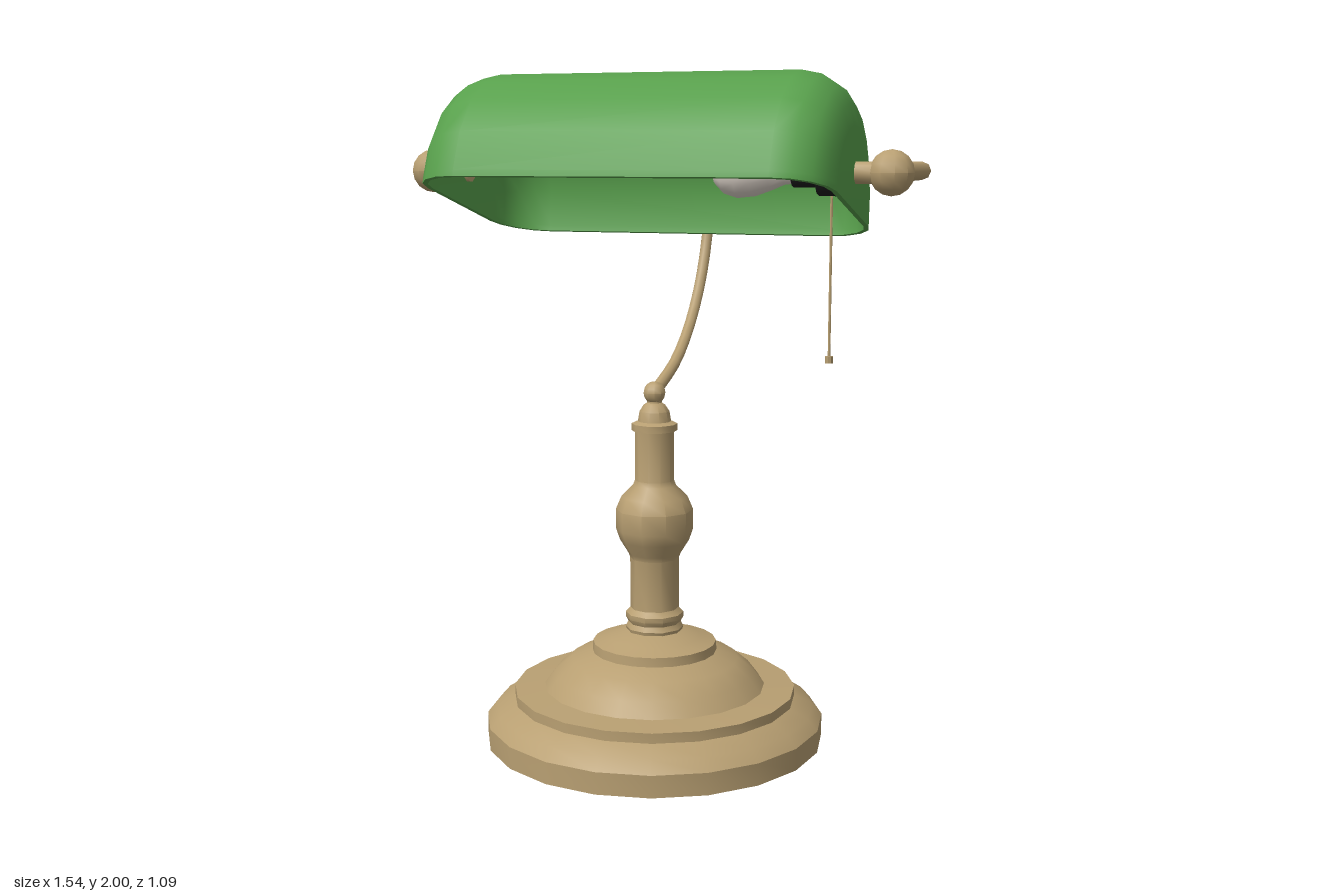
import * as THREE from 'three';
import { toCreasedNormals } from 'three/addons/utils/BufferGeometryUtils.js';

const mat = (name, color) => {
  const m = new THREE.MeshStandardMaterial({ color });
  m.name = name;
  return m;
};

export function createModel() {
  const brass = mat('brass', 0xb89f72);
  const green = mat('green glass', 0x58a04c);
  const black = mat('black socket', 0x1c1c1c);
  const white = mat('bulb white', 0xe0d6cc);

  const model = new THREE.Group();
  model.name = 'deskLamp';
  const STEM_Z = 0.032, BAR_Y = 1.72, BAR_Z = -0.483, JOINT_X = 0.705, JOINT_Z = 0.054;

  const add = (name, geo, material, x = 0, y = 0, z = 0, crease = 0.7) => {
    const mesh = new THREE.Mesh(toCreasedNormals(geo, crease), material);
    mesh.name = name;
    mesh.position.set(x, y, z);
    model.add(mesh);
    return mesh;
  };
  const lathe = (pts, sides) =>
    new THREE.LatheGeometry(pts.map(([r, y]) => new THREE.Vector2(r, y)), sides);
  const ball = (r, sides = 10) => new THREE.SphereGeometry(r, sides, 8);

  // Stepped round foot
  add('base', lathe([
    [0, 0], [0.515, 0], [0.515, 0.066], [0.485, 0.1], [0.43, 0.127], [0.43, 0.157],
    [0.337, 0.163], [0.305, 0.205], [0.255, 0.247], [0.19, 0.272], [0.188, 0.3],
    [0.14, 0.315], [0.085, 0.335], [0, 0.337],
  ], 20), brass, 0, 0, STEM_Z, 0.6);

  // Turned stem
  add('stem', lathe([
    [0.084, 0.33], [0.088, 0.345], [0.08, 0.36], [0.088, 0.375], [0.088, 0.39],
    [0.074, 0.405], [0.074, 0.56], [0.08, 0.575], [0.105, 0.615], [0.117, 0.65],
    [0.117, 0.71], [0.1, 0.75], [0.065, 0.785], [0.059, 0.8], [0.059, 0.95],
    [0.069, 0.952], [0.069, 0.973], [0.05, 0.98], [0.045, 1.01], [0.032, 1.03],
    [0.022, 1.036], [0.022, 1.06],
  ], 10), brass, 0, 0, STEM_Z);
  add('stemBall', ball(0.034), brass, 0, 1.066, STEM_Z);

  // Curved neck rising behind the shade
  const neck = new THREE.CatmullRomCurve3([
    [1.066, 0.032], [1.143, -0.18], [1.265, -0.34], [1.424, -0.456], [1.584, -0.508], [1.70, -0.488],
  ].map(([y, z]) => new THREE.Vector3(0, y, z)));
  add('neck', new THREE.TubeGeometry(neck, 14, 0.018, 8), brass, 0, 0, 0, 0.9);
  add('neckBall', ball(0.064), brass, 0, BAR_Y, BAR_Z);

  // U-shaped bar with rounded corners
  const bar = new THREE.CurvePath();
  const v = (x, z) => new THREE.Vector3(x, BAR_Y, z);
  const k = 0.06, e = JOINT_X;
  bar.add(new THREE.LineCurve3(v(-e, JOINT_Z), v(-e, BAR_Z + k)));
  bar.add(new THREE.QuadraticBezierCurve3(v(-e, BAR_Z + k), v(-e, BAR_Z), v(-e + k, BAR_Z)));
  bar.add(new THREE.LineCurve3(v(-e + k, BAR_Z), v(e - k, BAR_Z)));
  bar.add(new THREE.QuadraticBezierCurve3(v(e - k, BAR_Z), v(e, BAR_Z), v(e, BAR_Z + k)));
  bar.add(new THREE.LineCurve3(v(e, BAR_Z + k), v(e, JOINT_Z)));
  add('supportBar', new THREE.TubeGeometry(bar, 100, 0.028, 8), brass, 0, 0, 0, 0.9);

  // Pivot balls and pins at both ends of the shade
  for (const s of [-1, 1]) {
    add('pivotBall', ball(0.065), brass, s * JOINT_X, BAR_Y, JOINT_Z);
    const pin = new THREE.CylinderGeometry(0.033, 0.033, 0.09, 10).rotateZ(Math.PI / 2);
    add('pivotPin', pin, brass, s * 0.625, BAR_Y, JOINT_Z);
  }

  // Tilted half-round glass shade
  const shade = add('shade', shadeGeometry(0.605, 0.368, 0.15, 0.015), green, 0, 1.618, 0.083, 0.6);
  shade.rotation.x = -0.257;

  // Bulb and socket lying along the shade
  const alongX = (pts, sides) => lathe(pts, sides).rotateZ(-Math.PI / 2);
  add('bulb', alongX([
    [0, 0.185], [0.035, 0.195], [0.062, 0.222], [0.075, 0.265], [0.07, 0.31],
    [0.052, 0.36], [0.035, 0.4], [0.032, 0.45],
  ], 14), white, 0, BAR_Y, JOINT_Z);
  add('socket', alongX([
    [0, 0.425], [0.042, 0.425], [0.042, 0.495], [0.066, 0.5], [0.066, 0.588], [0, 0.588],
  ], 12), black, 0, BAR_Y, JOINT_Z);

  // Pull chain
  add('pullChain', new THREE.CylinderGeometry(0.004, 0.004, 0.5, 6), brass, 0.536, 1.44, JOINT_Z, 1.2);
  add('pullKnob', new THREE.CylinderGeometry(0.012, 0.012, 0.02, 8), brass, 0.536, 1.19, JOINT_Z);

  return model;
}

// Half-round trough along x with rounded, closed ends, a short straight wall and a thickness
function shadeGeometry(halfLength, radius, corner, thick) {
  const ARC = 10, STEPS = 4, WALL = 0.018;
  const sections = (inset) => {
    const c = corner - inset, x0 = halfLength - corner, half = [];
    for (let i = 0; i <= STEPS; i++) {
      const a = (i / STEPS) * Math.PI / 2;
      half.push([x0 + c * Math.sin(a), radius - corner + c * Math.cos(a)]);
    }
    half.push([halfLength - inset, 0]);
    return [...half.map(([x, r]) => [-x, r]).reverse(), ...half];
  };
  const pos = [], idx = [];
  const shells = [sections(0), sections(thick)];
  const n = shells[0].length, m = ARC + 3;
  for (const shell of shells) {
    for (const [x, r] of shell) {
      pos.push(x, 0, r);
      for (let j = 0; j <= ARC; j++) {
        const a = (j / ARC) * Math.PI;
        pos.push(x, WALL + r * Math.sin(a), r * Math.cos(a));
      }
      pos.push(x, 0, -r);
    }
  }
  const at = (shell, i, j) => (shell * n + i) * m + j;
  const quad = (a, b, c, d) => idx.push(a, b, c, a, c, d);
  for (let i = 0; i < n - 1; i++) {
    for (let j = 0; j < m - 1; j++) {
      quad(at(0, i, j), at(0, i + 1, j), at(0, i + 1, j + 1), at(0, i, j + 1));
      quad(at(1, i, j), at(1, i, j + 1), at(1, i + 1, j + 1), at(1, i + 1, j));
    }
    // Lower rim, front and back
    const l = m - 1;
    quad(at(0, i, 0), at(1, i, 0), at(1, i + 1, 0), at(0, i + 1, 0));
    quad(at(0, i, l), at(0, i + 1, l), at(1, i + 1, l), at(1, i, l));
  }
  const geo = new THREE.BufferGeometry();
  geo.setAttribute('position', new THREE.Float32BufferAttribute(pos, 3));
  geo.setIndex(idx);
  return geo;
}
